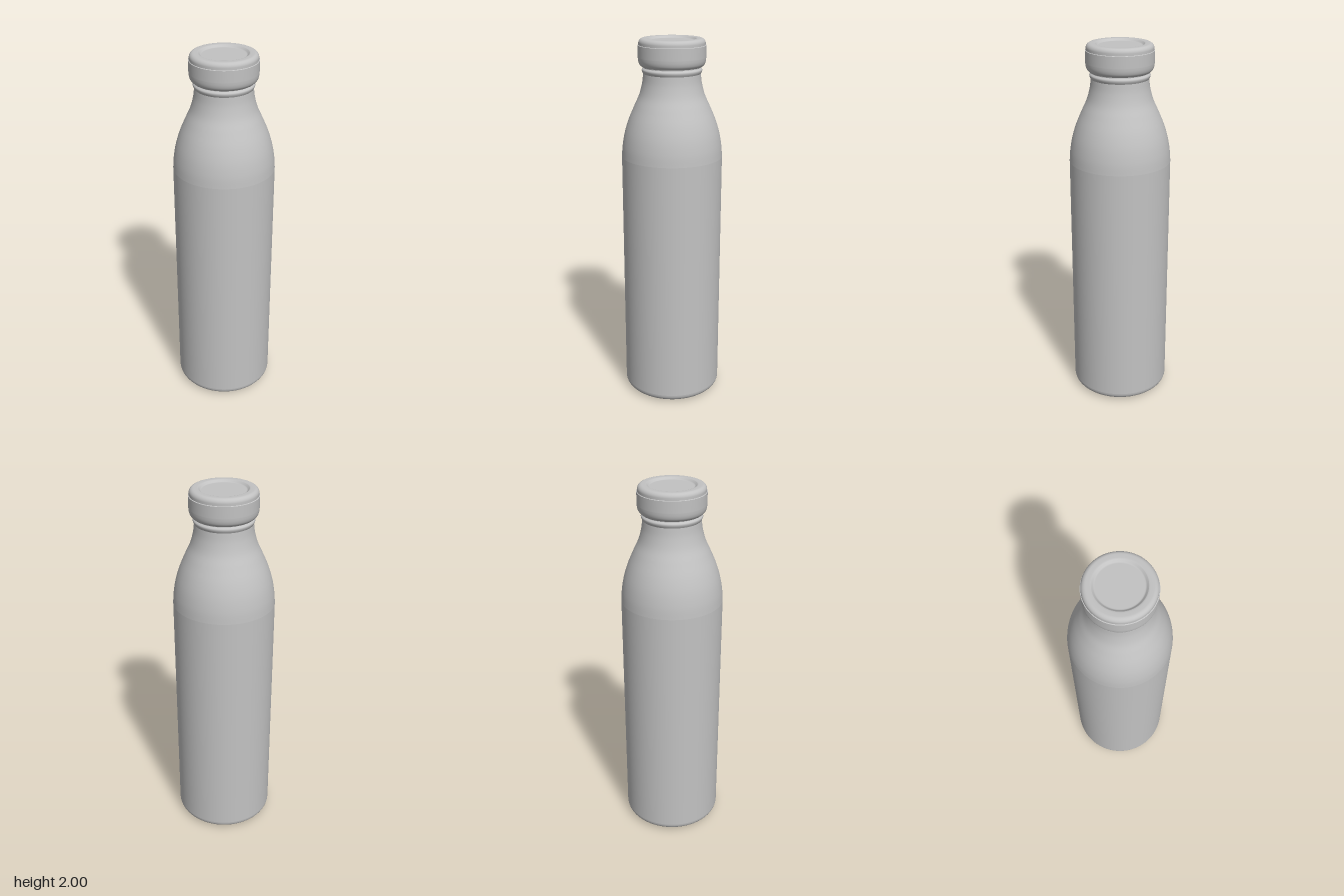
import * as THREE from 'three';

const SEGMENTS = 96;

// Quarter-round corner between two angles, as profile points (radius, height)
function arc(cx, cy, r, from, to, steps = 8) {
  const points = [];
  for (let i = 0; i <= steps; i++) {
    const a = THREE.MathUtils.degToRad(from + ((to - from) * i) / steps);
    points.push([cx + r * Math.cos(a), cy + r * Math.sin(a)]);
  }
  return points;
}

// Smooth curve through a few profile points
function smooth(points, steps = 24) {
  const curve = new THREE.SplineCurve(points.map(([x, y]) => new THREE.Vector2(x, y)));
  return curve.getPoints(steps).map((p) => [p.x, p.y]);
}

export function createModel() {
  const grey = new THREE.MeshStandardMaterial({ color: 0xc2c2c2 });
  grey.name = 'satin grey';

  const model = new THREE.Group();
  model.name = 'bottle';

  // Each smooth stretch of the profile is its own lathe, so edges between them stay crisp
  function turn(name, profile, parent) {
    const points = profile.map(([x, y]) => new THREE.Vector2(x, y));
    const mesh = new THREE.Mesh(new THREE.LatheGeometry(points, SEGMENTS), grey);
    mesh.name = name;
    parent.add(mesh);
  }

  // Body: flat base, rounded foot, straight wall, shoulder and neck
  const body = new THREE.Group();
  body.name = 'body';
  model.add(body);
  turn('base', [[0, 0], [0.17, 0], [0.18, 0.006], [0.232, 0.006]], body);
  turn('foot', arc(0.23, 0.046, 0.04, -90, 0), body);
  turn('wall', [[0.27, 0.046], [0.27, 1.38]], body);
  turn('shoulder', smooth([
    [0.27, 1.38], [0.265, 1.44], [0.252, 1.51], [0.23, 1.58],
    [0.2, 1.65], [0.173, 1.71], [0.157, 1.77], [0.151, 1.82],
  ], 40), body);
  turn('neckRing', smooth([[0.151, 1.82], [0.157, 1.832], [0.157, 1.842], [0.148, 1.85]], 12), body);
  turn('neck', [[0.148, 1.85], [0.148, 1.87]], body);

  // Cap: rounded skirt, stepped lid and shallow dished top
  const cap = new THREE.Group();
  cap.name = 'cap';
  model.add(cap);
  turn('capUnderside', [[0.146, 1.856], [0.158, 1.856]], cap);
  turn('capSkirt', [...smooth([[0.158, 1.856], [0.17, 1.868], [0.176, 1.885], [0.178, 1.905]], 12), [0.178, 1.964]], cap);
  turn('capStep', [[0.178, 1.964], [0.174, 1.966]], cap);
  turn('capLid', [
    [0.174, 1.966], ...arc(0.151, 1.977, 0.023, 0, 90), [0.134, 2],
    ...smooth([[0.128, 1.999], [0.122, 1.994], [0.116, 1.989], [0.11, 1.988]], 10), [0, 1.988],
  ], cap);

  return model;
}
